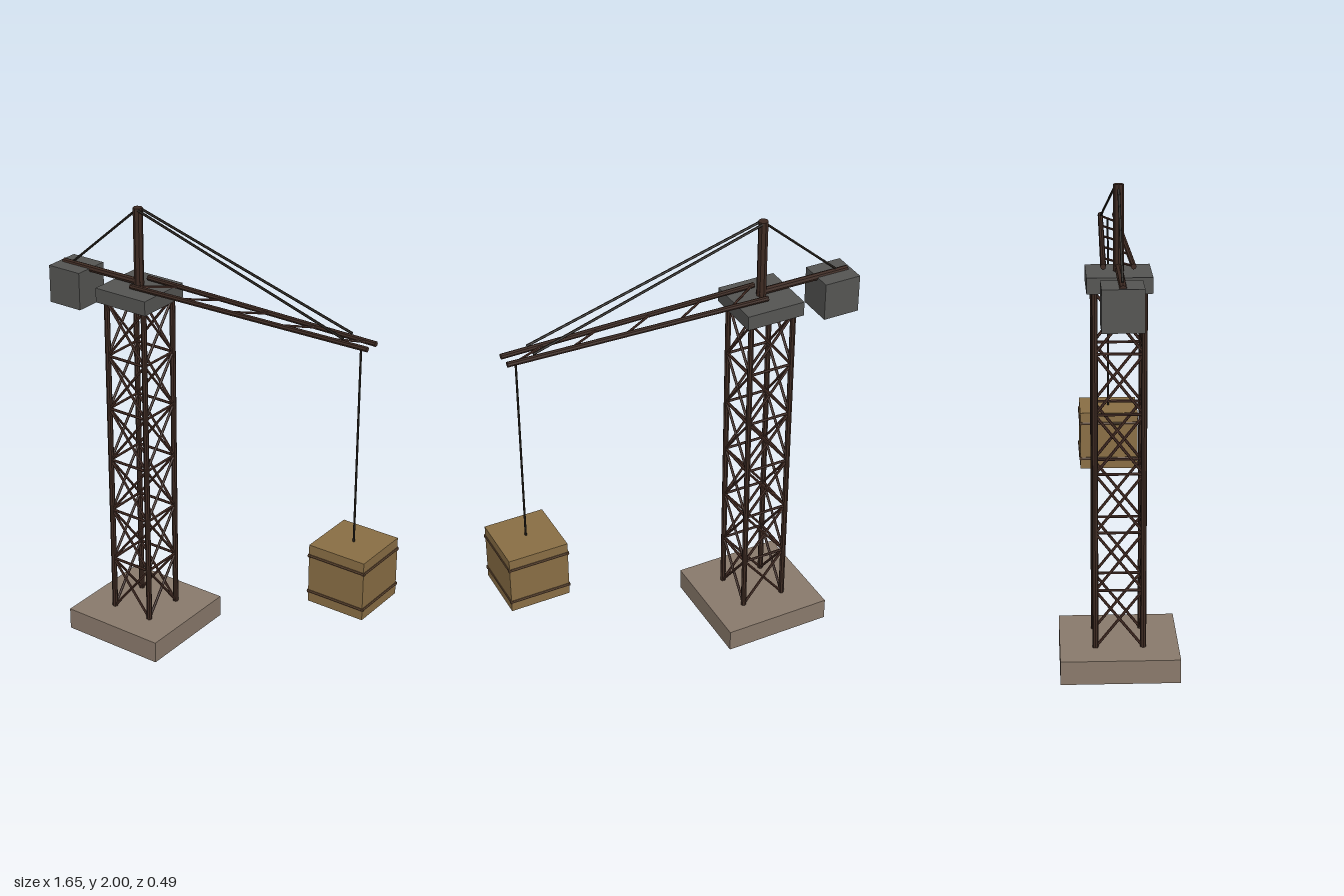
import * as THREE from 'three';

const mat = (color) => new THREE.MeshStandardMaterial({ color, flatShading: true });
const V = (x, y, z) => new THREE.Vector3(x, y, z);

export function createModel() {
  const crane = new THREE.Group();
  crane.name = 'towerCrane';
  const steel = mat(0x3d2a22), brace = mat(0x4a3027), dark = mat(0x555553);
  const stone = mat(0x8a7a6c), wood = mat(0x8a6f45), band = mat(0x5f4630), rope = mat(0x2b2620);

  function group(name) {
    const g = new THREE.Group();
    g.name = name;
    crane.add(g);
    return g;
  }
  function box(parent, name, material, size, pos) {
    const m = new THREE.Mesh(new THREE.BoxGeometry(...size), material);
    m.name = name;
    m.position.set(...pos);
    parent.add(m);
  }
  // Round bar running from a to b
  function rod(parent, name, material, a, b, r, sides = 6) {
    const m = new THREE.Mesh(new THREE.CylinderGeometry(r, r, a.distanceTo(b), sides), material);
    m.name = name;
    m.position.copy(a).add(b).multiplyScalar(0.5);
    m.quaternion.setFromUnitVectors(V(0, 1, 0), b.clone().sub(a).normalize());
    parent.add(m);
  }

  const cx = -0.402, half = 0.098, y0 = 0.1, y1 = 1.59, bays = 6;
  box(crane, 'base', stone, [0.488, 0.1, 0.488], [cx, 0.05, 0]);

  // Lattice tower: four legs, cross bracing and rails on every side
  const tower = group('tower');
  const corners = [[-1, -1], [1, -1], [1, 1], [-1, 1]];
  const at = (i, y) => V(cx + corners[i % 4][0] * half, y, corners[i % 4][1] * half);
  for (let i = 0; i < 4; i++) {
    rod(tower, 'leg', steel, at(i, y0 - 0.01), at(i, y1 + 0.01), 0.0125, 8);
    for (let k = 0; k < bays; k++) {
      const lo = y0 + (y1 - y0) * k / bays, hi = y0 + (y1 - y0) * (k + 1) / bays;
      rod(tower, 'diagonalBrace', brace, at(i, lo), at(i + 1, hi), 0.006);
      rod(tower, 'diagonalBrace', brace, at(i + 1, lo), at(i, hi), 0.006);
      if (k > 0) rod(tower, 'crossRail', brace, at(i, lo), at(i + 1, lo), 0.006);
    }
  }

  // Turntable and mast
  box(crane, 'turntable', dark, [0.26, 0.064, 0.26], [cx, 1.622, 0]);
  rod(crane, 'mast', steel, V(cx, 1.65, 0), V(cx, 1.998, 0), 0.021, 8);

  // Jib: two converging chords with slanted braces
  const jib = group('jib');
  const xa = -0.4, xb = 0.74, jy = 1.67;
  const chordZ = (x) => THREE.MathUtils.mapLinear(x, xa, xb, 0.06, 0.032);
  for (const s of [-1, 1]) {
    rod(jib, 'chord', steel, V(xa, jy, s * chordZ(xa)), V(xb, jy, s * chordZ(xb)), 0.0115, 8);
    rod(jib, 'stayCable', rope, V(cx, 1.993, s * 0.012), V(0.63, 1.687, s * 0.033), 0.0055);
  }
  for (let i = 0; i < 5; i++) {
    const x = xa + 0.01 + 0.235 * i, e = x + 0.16;
    rod(jib, 'jibBrace', brace, V(x, jy, chordZ(x)), V(e, jy, -chordZ(e)), 0.005);
  }

  // Counter jib with its weight
  const counter = group('counterJib');
  rod(counter, 'counterBeam', steel, V(-0.81, 1.67, 0), V(-0.385, 1.67, 0), 0.0155, 8);
  rod(counter, 'backStay', rope, V(cx, 1.993, 0), V(-0.755, 1.685, 0), 0.0055);
  box(counter, 'counterweight', dark, [0.164, 0.168, 0.164], [-0.744, 1.589, 0]);

  // Hoist rope and hanging crate
  const load = group('load'), lx = 0.692, h = 0.131;
  rod(load, 'hoistRope', rope, V(lx, 0.78, 0), V(lx, 1.657, 0), 0.0045);
  box(load, 'crate', wood, [2 * h, 0.264, 2 * h], [lx, 0.657, 0]);
  const w = h + 0.004, d = h - 0.003;
  for (const y of [0.572, 0.739]) {
    for (const s of [-1, 1]) {
      rod(load, 'crateBand', band, V(lx - w, y, s * d), V(lx + w, y, s * d), 0.008, 8);
      rod(load, 'crateBand', band, V(lx + s * d, y, -w), V(lx + s * d, y, w), 0.008, 8);
    }
  }
  return crane;
}
